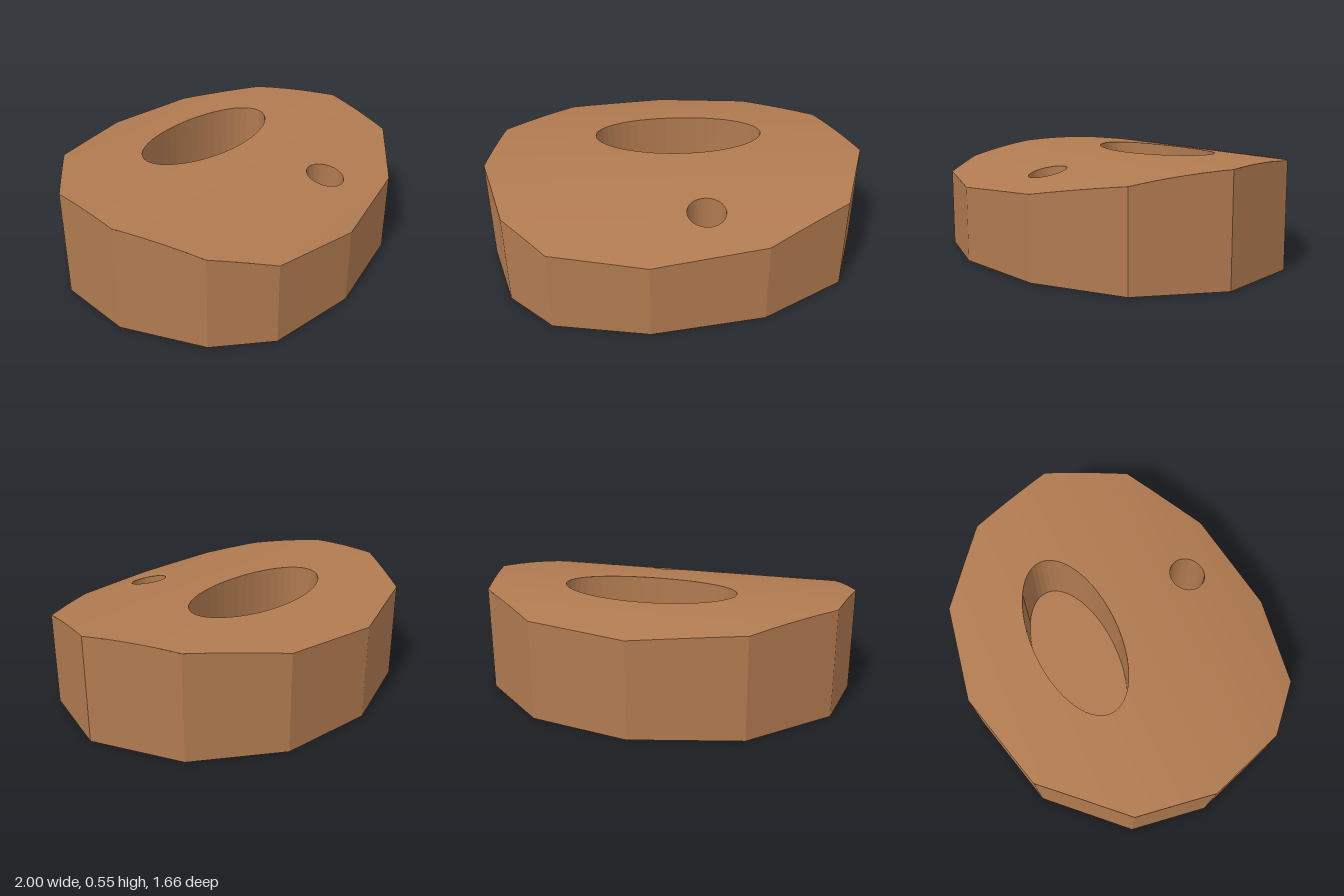
import * as THREE from 'three';

// Height of the gently arched top at depth z
const PEAK = 0.555, PEAK_Z = -0.19, RADIUS = 3.17;
const topY = (z) => PEAK - RADIUS + Math.sqrt(RADIUS ** 2 - (z - PEAK_Z) ** 2);

const CORNERS = [
  [-0.05, -0.835], [0.46, -0.75], [0.84, -0.44], [1, 0.03], [0.84, 0.47], [0.41, 0.735],
  [-0.155, 0.83], [-0.63, 0.745], [-0.86, 0.52], [-1, 0.1], [-0.94, -0.31], [-0.585, -0.69],
];
const FLOOR = 0.15;

// Closed loop of [x, z] points, clockwise seen from above
const ellipse = (cx, cz, rx, rz, n) => Array.from({ length: n }, (_, i) => {
  const a = (i / n) * Math.PI * 2;
  return [cx + rx * Math.cos(a), cz + rz * Math.sin(a)];
});

// Adds points along each straight side so it can follow the arch
const subdivide = (loop, n) => loop.flatMap(([x, z], i) => {
  const [u, w] = loop[(i + 1) % loop.length];
  return Array.from({ length: n }, (_, k) => [x + (u - x) * k / n, z + (w - z) * k / n]);
});

function geometryFrom(positions) {
  const g = new THREE.BufferGeometry();
  g.setAttribute('position', new THREE.Float32BufferAttribute(positions, 3));
  g.computeVertexNormals();
  return g;
}

// Upright wall from y = base to the arched top; inward turns it to face the loop's centre
function wall(loop, base, inward) {
  const p = [];
  const pts = inward ? [...loop].reverse() : loop;
  pts.forEach(([x, z], i) => {
    const [u, w] = pts[(i + 1) % pts.length];
    p.push(x, base, z, x, topY(z), z, u, base, w);
    p.push(u, base, w, x, topY(z), z, u, topY(w), w);
  });
  return geometryFrom(p);
}

// Sorted x positions where the loops cross a line of constant z
function crossings(loops, z) {
  const xs = [];
  for (const loop of loops) {
    loop.forEach(([x, a], i) => {
      const [u, b] = loop[(i + 1) % loop.length];
      if ((a < z) !== (b < z)) xs.push(x + (u - x) * (z - a) / (b - a));
    });
  }
  return xs.sort((m, n) => m - n);
}

// Arched top, made of strips that stop at the outline and the openings
function archedTop(loops) {
  const p = [];
  const rows = loops.flat().map(([, z]) => z).sort((a, b) => a - b)
    .filter((z, i, all) => i === 0 || z - all[i - 1] > 1e-7);
  for (let i = 0; i + 1 < rows.length; i++) {
    const a = rows[i], b = rows[i + 1], e = (b - a) * 1e-3;
    const xa = crossings(loops, a + e), xb = crossings(loops, b - e);
    if (xa.length !== xb.length) continue;
    for (let k = 0; k + 1 < xa.length; k += 2) {
      const l0 = [xa[k], topY(a), a], r0 = [xa[k + 1], topY(a), a];
      const l1 = [xb[k], topY(b), b], r1 = [xb[k + 1], topY(b), b];
      p.push(...l0, ...l1, ...r0, ...r0, ...l1, ...r1);
    }
  }
  const g = geometryFrom(p);
  // Smooth normals of the arch
  const pos = g.attributes.position;
  for (let i = 0; i < pos.count; i++) {
    const s = (pos.getZ(i) - PEAK_Z) / RADIUS;
    g.attributes.normal.setXYZ(i, 0, Math.sqrt(1 - s * s), s);
  }
  return g;
}

const vectors = (loop, sign) => loop.map(([x, z]) => new THREE.Vector2(x, sign * z));

export function createModel() {
  const group = new THREE.Group();
  const wood = new THREE.MeshStandardMaterial({ name: 'warm brown', color: 0xb07a50 });
  const add = (name, geometry) => {
    const mesh = new THREE.Mesh(geometry, wood);
    mesh.name = name;
    group.add(mesh);
  };

  const outline = subdivide(CORNERS, 8);
  const recess = ellipse(0.03, -0.205, 0.46, 0.226, 48);
  const hole = ellipse(0.13, 0.505, 0.097, 0.097, 32);

  // Outer body
  add('sides', wall(outline, 0, false));
  add('archedTop', archedTop([outline, recess, hole]));
  const base = new THREE.Shape(vectors(CORNERS, 1));
  base.holes.push(new THREE.Path(vectors(hole, 1)));
  add('underside', new THREE.ShapeGeometry(base).rotateX(Math.PI / 2));

  // Oval recess with a flat floor, and the round hole right through
  add('recessWall', wall(recess, FLOOR, true));
  add('recessFloor', new THREE.ShapeGeometry(new THREE.Shape(vectors(recess, -1)))
    .rotateX(-Math.PI / 2).translate(0, FLOOR, 0));
  add('throughHole', wall(hole, 0, true));
  return group;
}
